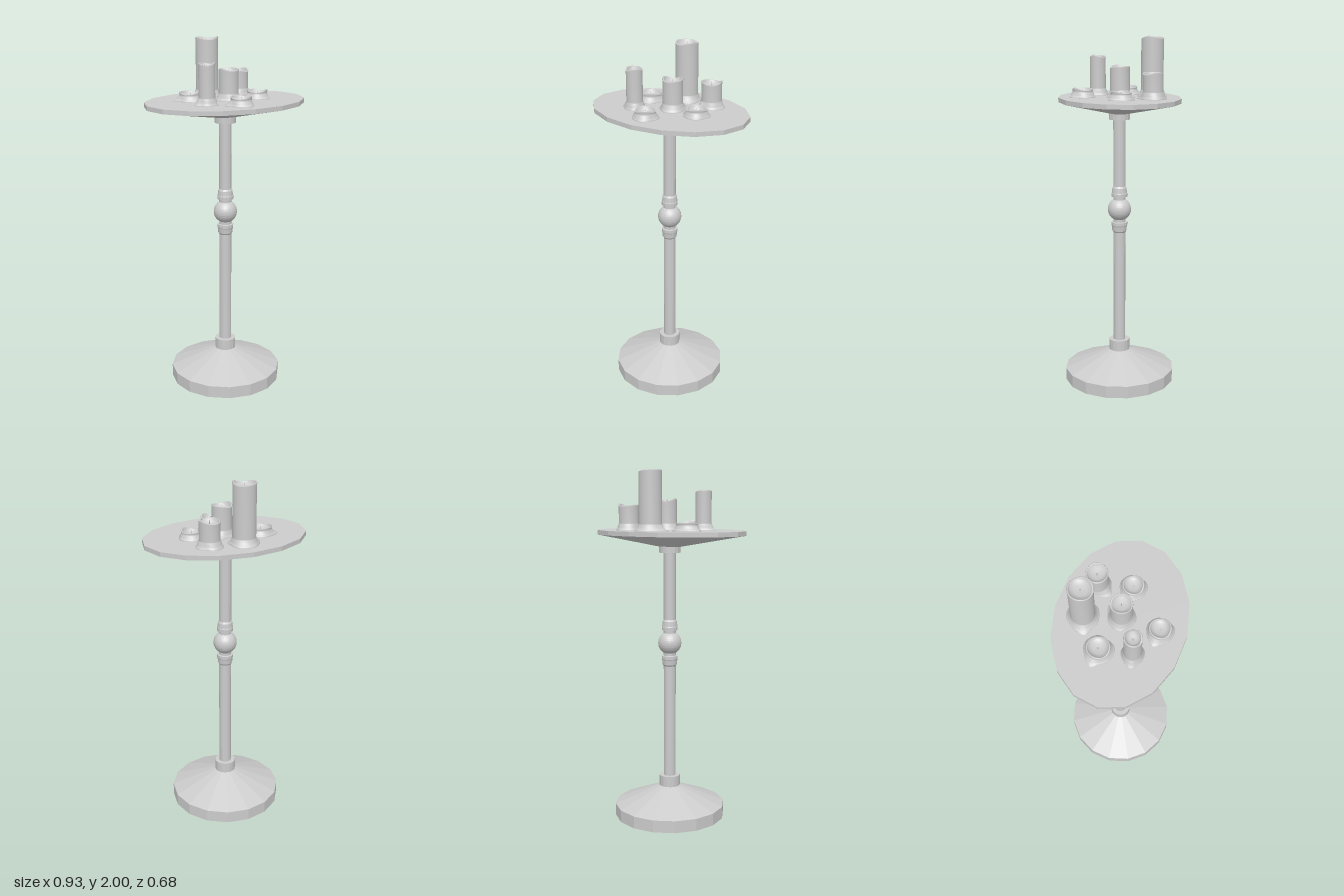
import * as THREE from 'three';

const flat = new THREE.MeshStandardMaterial({ color: 0xcccccc, flatShading: true });
const smooth = new THREE.MeshStandardMaterial({ color: 0xcccccc });
const PLATE_TOP = 1.67;

function lathe(name, pts, sides, material) {
  const geo = new THREE.LatheGeometry(pts.map(([r, y]) => new THREE.Vector2(r, y)), sides);
  const mesh = new THREE.Mesh(geo, material);
  mesh.name = name;
  return mesh;
}

// Melted candle: wax puddle, body, wavy rim, hollow bowl and wick
function candle({ x, z, r, top, puddle, drip }) {
  const group = new THREE.Group();
  group.name = 'candle';
  const h = top - PLATE_TOP;
  const neck = Math.min(0.035, h * 0.5);
  const bowl = h - 0.032;
  const profile = [
    [puddle, 0], [puddle, 0.005], [puddle - 0.006, 0.01],
    [r + 0.009, neck * 0.5], [r + 0.002, neck], [r, neck + 0.005],
    [r, h - 0.016], [r + 0.002, h - 0.007], [r, h - 0.001], [r - 0.004, h], [r - 0.008, h - 0.004],
    [r * 0.78, bowl + 0.007], [r * 0.45, bowl + 0.001], [0.0005, bowl],
  ];
  const wax = lathe('wax', profile, 36, smooth);
  const pos = wax.geometry.attributes.position;
  for (let i = 0; i < pos.count; i++) {
    const px = pos.getX(i), py = pos.getY(i), pz = pos.getZ(i);
    const rad = Math.hypot(px, pz);
    const a = Math.atan2(pz, px) - drip;
    // Puddle outline: one pointed run of wax plus soft lobes
    const low = THREE.MathUtils.clamp((rad - r) / (puddle - r), 0, 1) * (py < neck ? 1 : 0);
    const point = Math.exp(-Math.pow(Math.atan2(Math.sin(a), Math.cos(a)) / 0.28, 2));
    const s = 1 + low * (0.2 * point + 0.045 * Math.sin(3 * a + 1) + 0.03 * Math.sin(5 * a));
    // Rim height: uneven melting
    const rim = THREE.MathUtils.smoothstep(py, h - 0.018, h) * THREE.MathUtils.smoothstep(rad, r * 0.7, r * 0.9);
    const dip = rim * 0.006 * (Math.sin(2 * a) + 0.5 * Math.sin(3 * a + 2) - 1.2);
    pos.setXYZ(i, px * s, py + dip, pz * s);
  }
  // Keep the seam smooth by sharing normals of its two columns
  wax.geometry.computeVertexNormals();
  const n = wax.geometry.attributes.normal, count = profile.length;
  for (let i = 0; i < count; i++) {
    const j = pos.count - count + i;
    const v = new THREE.Vector3().fromBufferAttribute(n, i)
      .add(new THREE.Vector3().fromBufferAttribute(n, j)).normalize();
    n.setXYZ(i, v.x, v.y, v.z);
    n.setXYZ(j, v.x, v.y, v.z);
  }
  const wick = new THREE.Mesh(new THREE.CylinderGeometry(0.0015, 0.002, 0.026, 6), smooth);
  wick.name = 'wick';
  wick.position.y = bowl + 0.012;
  group.add(wax, wick);
  group.position.set(x, PLATE_TOP, z);
  return group;
}

export function createModel() {
  const model = new THREE.Group();
  model.name = 'candleStand';

  // Foot with sloping top and collar
  model.add(lathe('base', [
    [0, 0], [0.32, 0], [0.32, 0.07], [0.06, 0.178], [0.06, 0.24], [0, 0.24],
  ], 16, flat));

  // Upright
  const pole = new THREE.Mesh(new THREE.CylinderGeometry(0.035, 0.035, 1.34, 16, 1, true), flat);
  pole.name = 'pole';
  pole.position.y = 0.89;
  model.add(pole);

  // Ball between two mirrored ring mouldings
  const ball = new THREE.Mesh(new THREE.SphereGeometry(0.067, 32, 20), flat);
  ball.name = 'ball';
  ball.position.y = 1.028;
  model.add(ball);
  const ring = [
    [0.035, 0.893], [0.041, 0.902], [0.044, 0.93], [0.046, 0.935], [0.046, 0.953], [0.035, 0.955],
  ];
  model.add(lathe('lowerRing', ring, 16, flat));
  model.add(lathe('upperRing', ring.map(([r, y]) => [r, 2.056 - y]).reverse(), 16, flat));

  // Collar under the plate
  model.add(lathe('plateCollar', [
    [0.03, 1.545], [0.06, 1.545], [0.06, 1.58], [0.03, 1.58],
  ], 16, flat));

  // Oval plate with a conical underside
  const plate = lathe('plate', [
    [0, 1.577], [0.06, 1.577], [0.467, 1.645], [0.467, PLATE_TOP], [0, PLATE_TOP],
  ], 16, flat);
  plate.scale.z = 0.342 / 0.467;
  model.add(plate);

  // Candles; drip is the direction of the wax run, measured from +x towards +z
  const candles = [
    { x: -0.02, z: -0.19, r: 0.063, top: 2.003, puddle: 0.084, drip: 2.8 },
    { x: 0.165, z: -0.16, r: 0.056, top: 1.817, puddle: 0.073, drip: 2.0 },
    { x: -0.18, z: -0.07, r: 0.06, top: 1.723, puddle: 0.078, drip: 3.3 },
    { x: 0.02, z: 0, r: 0.055, top: 1.846, puddle: 0.073, drip: -1.1 },
    { x: 0.19, z: 0.02, r: 0.055, top: 1.721, puddle: 0.071, drip: 3.2 },
    { x: -0.162, z: 0.1, r: 0.045, top: 1.896, puddle: 0.06, drip: 3.0 },
    { x: -0.01, z: 0.205, r: 0.056, top: 1.724, puddle: 0.072, drip: 3.3 },
  ];
  candles.forEach((c) => model.add(candle(c)));

  return model;
}
